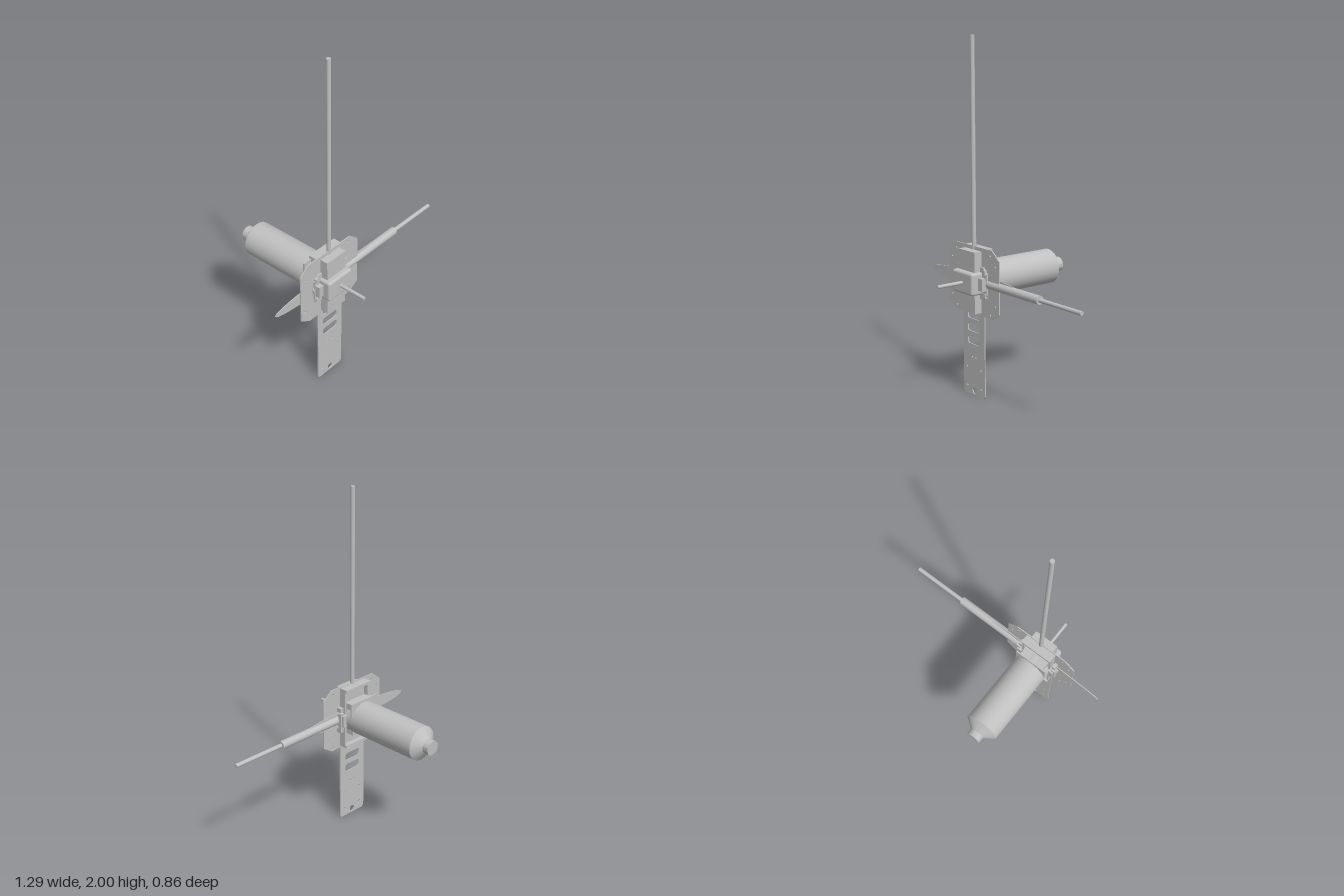
import * as THREE from 'three';
import { RoundedBoxGeometry } from 'three/addons/geometries/RoundedBoxGeometry.js';
import { toCreasedNormals } from 'three/addons/utils/BufferGeometryUtils.js';

const CX = -0.235; // centre line of the assembly
const CY = 0.665; // height of the tank and arm axes
const grey = new THREE.MeshStandardMaterial({ color: 0xc0c0c0 });
grey.name = 'light grey';

export function createModel() {
  const model = new THREE.Group();

  const add = (name, geometry, x = 0, y = 0, z = 0) => {
    const mesh = new THREE.Mesh(geometry, grey);
    mesh.name = name;
    mesh.position.set(x, y, z);
    model.add(mesh);
    return mesh;
  };
  // Box given by its limits
  const box = (name, x0, x1, y0, y1, z0, z1) =>
    add(name, new THREE.BoxGeometry(x1 - x0, y1 - y0, z1 - z0), (x0 + x1) / 2, (y0 + y1) / 2, (z0 + z1) / 2);
  const polygon = (points) => new THREE.Shape(points.map(([x, y]) => new THREE.Vector2(x, y)));
  const extrude = (shape, depth) =>
    new THREE.ExtrudeGeometry(shape, { depth, bevelEnabled: false, curveSegments: 20 });

  // Backing plate with chamfered corners and a long tail; x is measured from the centre line
  const half = [
    [0.085, 0], [0.097, 0.012], [0.097, 0.475], [0.165, 0.475],
    [0.228, 0.515], [0.228, 0.81], [0.165, 0.86],
  ];
  const plate = polygon([...half, ...half.map(([x, y]) => [-x, y]).reverse()]);
  const hole = (x, y, r) => {
    const path = new THREE.Path();
    path.absarc(x, y, r, 0, Math.PI * 2, true);
    plate.holes.push(path);
  };
  const slot = (y, h) => {
    const w = 0.055, r = 0.015;
    const path = new THREE.Path();
    path.absarc(w - r, y + h - r, r, 0, Math.PI / 2, false);
    path.absarc(-w + r, y + h - r, r, Math.PI / 2, Math.PI, false);
    path.absarc(-w + r, y - h + r, r, Math.PI, Math.PI * 1.5, false);
    path.absarc(w - r, y - h + r, r, Math.PI * 1.5, Math.PI * 2, false);
    path.closePath();
    plate.holes.push(path);
  };
  for (const y of [0.32, 0.393, 0.467]) slot(y, 0.023);
  hole(0, 0.027, 0.018);
  for (const s of [-1, 1]) {
    const small = [[0.016, 0.225], [0.062, 0.16], [0.062, 0.05], [0.153, 0.83],
      [0.196, 0.775], [0.196, 0.557], [0.153, 0.5]];
    for (const [x, y] of small) hole(s * x, y, 0.006);
  }
  add('backingPlate', extrude(plate, 0.006), CX, 0, 0.182);

  // Flat elliptical blade behind the plate
  const blade = new THREE.Shape();
  blade.absellipse(0, 0, 0.41, 0.044, 0, Math.PI * 2, false, 0);
  add('blade', toCreasedNormals(extrude(blade, 0.005), 0.6), CX, CY, 0.175);

  // Front block, strap housing and shaft
  box('frontBlock', CX - 0.073, CX + 0.073, 0.495, 0.84, 0.186, 0.235);
  add('strapHousing', new RoundedBoxGeometry(0.184, 0.125, 0.085, 3, 0.014), CX, CY, 0.225);
  const shaft = add('frontShaft', new THREE.CylinderGeometry(0.01, 0.01, 0.18, 20), CX, CY, 0.34);
  shaft.rotation.x = Math.PI / 2;

  // Mounting bracket, ears and pins on both sides
  const bracket = polygon([[-0.13, -0.06], [-0.1, -0.09], [0.1, -0.09], [0.13, -0.06],
    [0.13, 0.06], [0.1, 0.09], [-0.1, 0.09], [-0.13, 0.06]]);
  add('mountBracket', extrude(bracket, 0.01), CX, CY, 0.188);
  for (const s of [-1, 1]) {
    const ear = (name, x, w, h, z0, z1, y = CY) =>
      add(name, new THREE.BoxGeometry(w, h, z1 - z0), CX + s * x, y, (z0 + z1) / 2);
    ear('sideEar', 0.107, 0.035, 0.07, 0.13, 0.225);
    ear('earFlange', 0.122, 0.025, 0.1, 0.14, 0.16);
    for (const y of [-0.065, 0.065]) ear('earLug', 0.115, 0.02, 0.025, 0.15, 0.205, CY + y);
    const pin = add('sidePin', new THREE.CylinderGeometry(0.02, 0.02, 0.03, 20), CX + s * 0.122, CY, 0.178);
    pin.rotation.z = Math.PI / 2;
  }

  // Shallow open tray on the back of the plate
  for (const s of [-1, 1]) {
    const x = CX + s * 0.092;
    box('trayWall', x - 0.006, x + 0.006, 0.49, 0.85, 0.143, 0.183);
    const y = 0.67 + s * 0.175;
    box('trayLip', CX - 0.098, CX + 0.098, y - 0.008, y + 0.008, 0.13, 0.183);
  }
  box('trayPad', CX - 0.075, CX + 0.075, 0.5, 0.84, 0.16, 0.183);
  box('tankSaddle', CX - 0.078, CX + 0.078, CY - 0.09, CY + 0.1, 0.1, 0.165);
  box('tankClip', CX - 0.1, CX + 0.1, 0.68, 0.78, 0.088, 0.097);

  // Tank with a cone and neck, axis pointing back
  const profile = [[0, -0.14], [0.1, -0.14], [0.1, 0.35], [0.042, 0.393], [0.042, 0.43], [0, 0.43]];
  const lathe = new THREE.LatheGeometry(profile.map(([r, h]) => new THREE.Vector2(r, h)), 48);
  const tank = add('tank', toCreasedNormals(lathe, 0.5), CX, CY + 0.002, 0);
  tank.rotation.x = -Math.PI / 2;

  // Upright rod
  add('uprightRod', new THREE.CylinderGeometry(0.0125, 0.0125, 1.16, 24), CX, 1.42, 0.182);

  // Side arm: thick sleeve and thin rod
  const arm = (name, r, x0, x1) => {
    const mesh = add(name, new THREE.CylinderGeometry(r, r, x1 - x0, 24), (x0 + x1) / 2, CY, 0.177);
    mesh.rotation.z = Math.PI / 2;
  };
  arm('armSleeve', 0.024, -0.14, 0.322);
  arm('armRod', 0.012, 0.3, 0.643);

  return model;
}
